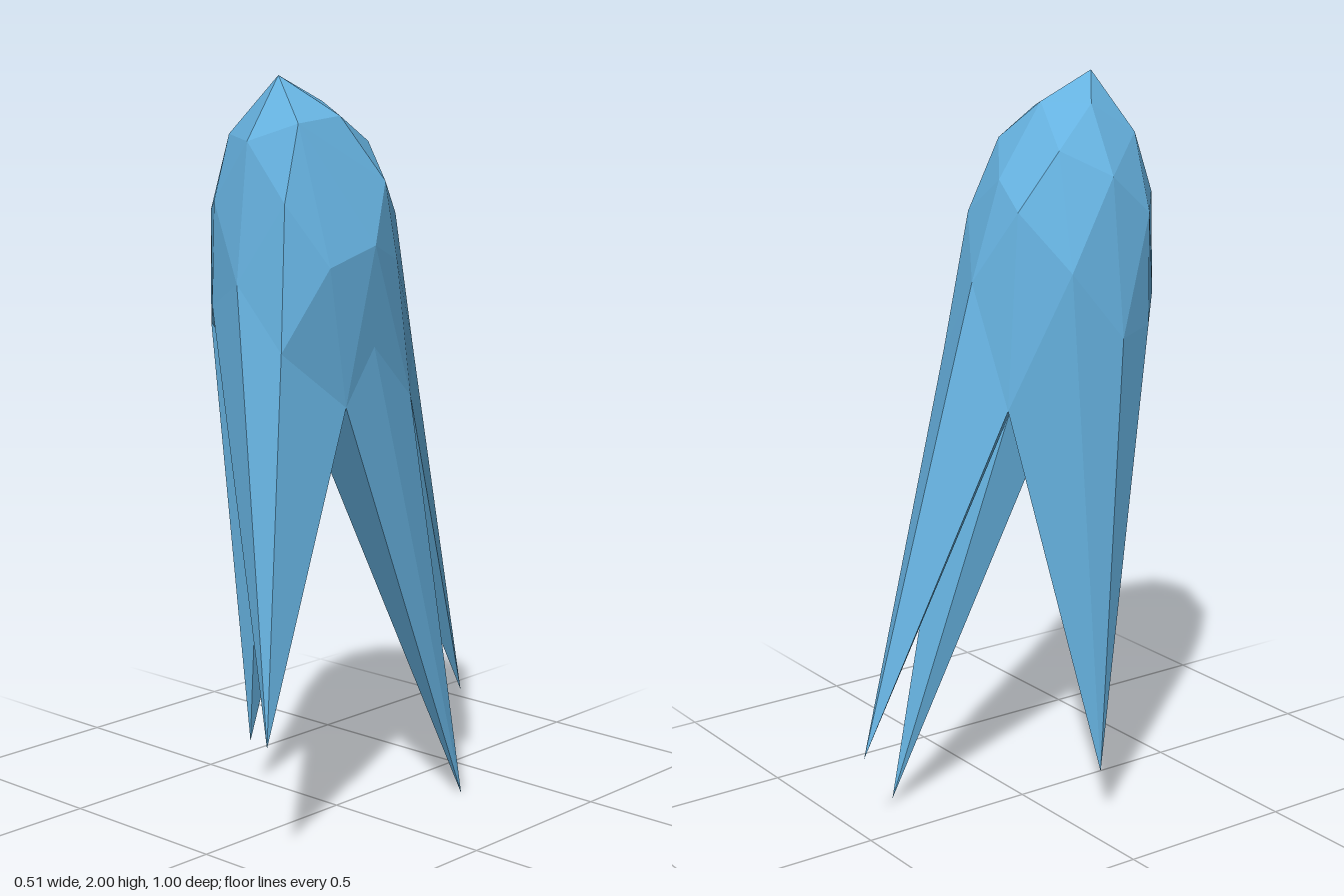
import * as THREE from 'three';
import { ConvexGeometry } from 'three/addons/geometries/ConvexGeometry.js';

// Corners shared by the body and the roots of the tentacles
const rim = {
  frontRight: [-0.11, 1.415, 0.35],
  front: [0.02, 1.485, 0.39],
  frontLeft: [0.155, 1.32, 0.37],
  leftFork: [0.2, 1.165, 0.18],
  left: [0.22, 1.315, 0.095],
  backFork: [0.2, 1.165, -0.07],
  backLeft: [0.12, 1.28, -0.17],
  back: [0.005, 1.48, -0.157],
  rightFork: [-0.125, 1.16, -0.135],
  rightBack: [-0.22, 1.52, 0],
  right: [-0.255, 1.34, 0.14],
  rightFront: [-0.208, 1.355, 0.26],
  frontFork: [-0.12, 1.16, 0.16],
  bellyFront: [0, 1.09, 0.1],
  bellyBack: [0.02, 1.1, -0.03],
};

// Faceted dome, from the crown down
const dome = [
  [0.02, 2, 0.237],
  [-0.1, 1.93, 0.147], [0.015, 1.93, 0.07], [0.148, 1.9, 0.147],
  [0.13, 1.885, 0.28], [0.02, 1.84, 0.35], [-0.12, 1.85, 0.275],
  [-0.12, 1.82, 0.03], [0.12, 1.83, 0.01], [0.005, 1.74, -0.07],
  [0.22, 1.735, 0.055], [-0.205, 1.755, 0.14], [0.14, 1.69, 0.34],
  [-0.1, 1.685, 0.35], [-0.205, 1.65, 0.26], [-0.1, 1.67, -0.085],
  [0.14, 1.64, -0.075], [0.255, 1.58, 0.13], [0.22, 1.53, 0.26],
  [0.215, 1.53, 0.003],
];

// Each tentacle: a tip and the rim corners it grows from
const tentacles = {
  frontTentacle: [[0.225, 0.34, 0.5],
    ['frontRight', 'front', 'frontLeft', 'leftFork', 'bellyFront']],
  rightTentacle: [[-0.26, 0.145, 0.075],
    ['rightBack', 'right', 'rightFront', 'frontFork', 'rightFork']],
  backTentacle: [[0.027, 0.225, -0.5],
    ['back', 'backLeft', 'backFork', 'bellyBack', 'rightFork']],
  leftTentacle: [[0.19, 0, -0.31],
    ['leftFork', 'left', 'backFork', 'bellyBack', 'bellyFront']],
};

export function createModel() {
  const group = new THREE.Group();
  const skin = new THREE.MeshStandardMaterial({ color: 0x66b2e0, flatShading: true });

  const addHull = (name, points) => {
    const mesh = new THREE.Mesh(
      new ConvexGeometry(points.map((p) => new THREE.Vector3(...p))), skin);
    mesh.name = name;
    group.add(mesh);
  };

  addHull('body', [...dome, ...Object.values(rim)]);
  for (const [name, [tip, roots]] of Object.entries(tentacles)) {
    addHull(name, [tip, ...roots.map((r) => rim[r])]);
  }
  return group;
}
